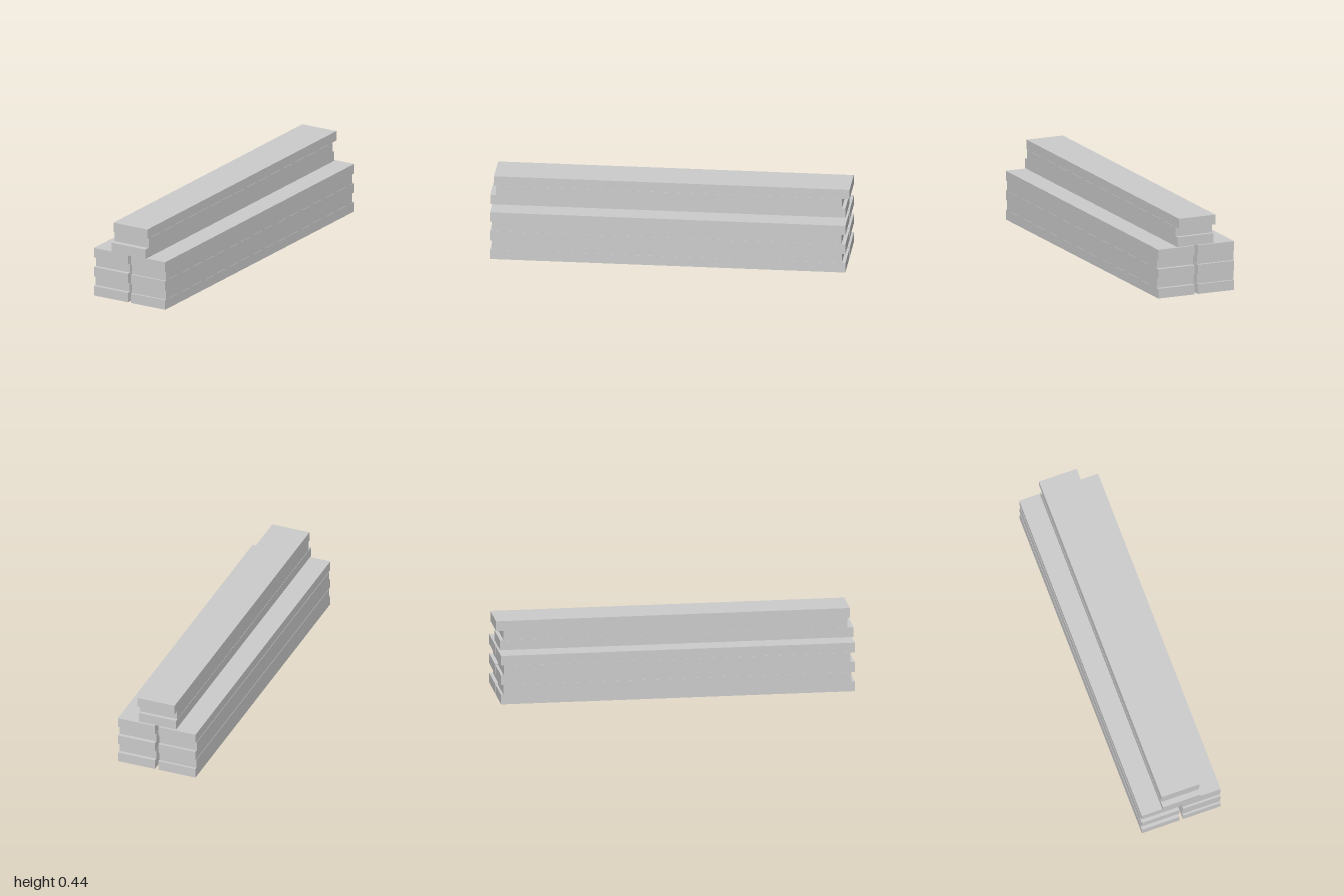
import * as THREE from 'three';

const W = 0.222, H = 0.0556; // plank cross-section

export function createModel() {
  const group = new THREE.Group();
  group.name = 'plankPile';
  const material = new THREE.MeshStandardMaterial({ color: 0xcccccc, flatShading: true });

  // Each plank: [centre x, back z, front z], listed from the bottom up
  function addStack(name, baseLayer, planks) {
    const stack = new THREE.Group();
    stack.name = name;
    planks.forEach(([x, back, front], i) => {
      const plank = new THREE.Mesh(new THREE.BoxGeometry(W, H, front - back), material);
      plank.name = `plank${i + 1}`;
      plank.position.set(x, (baseLayer + i + 0.5) * H, (front + back) / 2);
      stack.add(plank);
    });
    group.add(stack);
  }

  // Two lower stacks with alternate planks slightly shifted and shorter
  addStack('leftStack', 0, [
    [0.1215, -0.989, 0.989],
    [0.12, -0.969, 0.978],
    [0.1215, -0.989, 0.989],
    [0.12, -0.967, 0.978],
    [0.1215, -0.989, 0.989],
  ]);
  addStack('rightStack', 0, [
    [-0.121, -0.989, 0.989],
    [-0.123, -0.976, 0.969],
    [-0.121, -0.989, 0.989],
    [-0.123, -0.974, 0.966],
    [-0.121, -0.989, 0.989],
  ]);

  // Upper stack bridging the gap, planks pushed out of line lengthwise
  addStack('topStack', 5, [
    [-0.0005, -0.977, 1],
    [0.001, -0.957, 0.967],
    [-0.0007, -1, 0.979],
  ]);

  return group;
}
